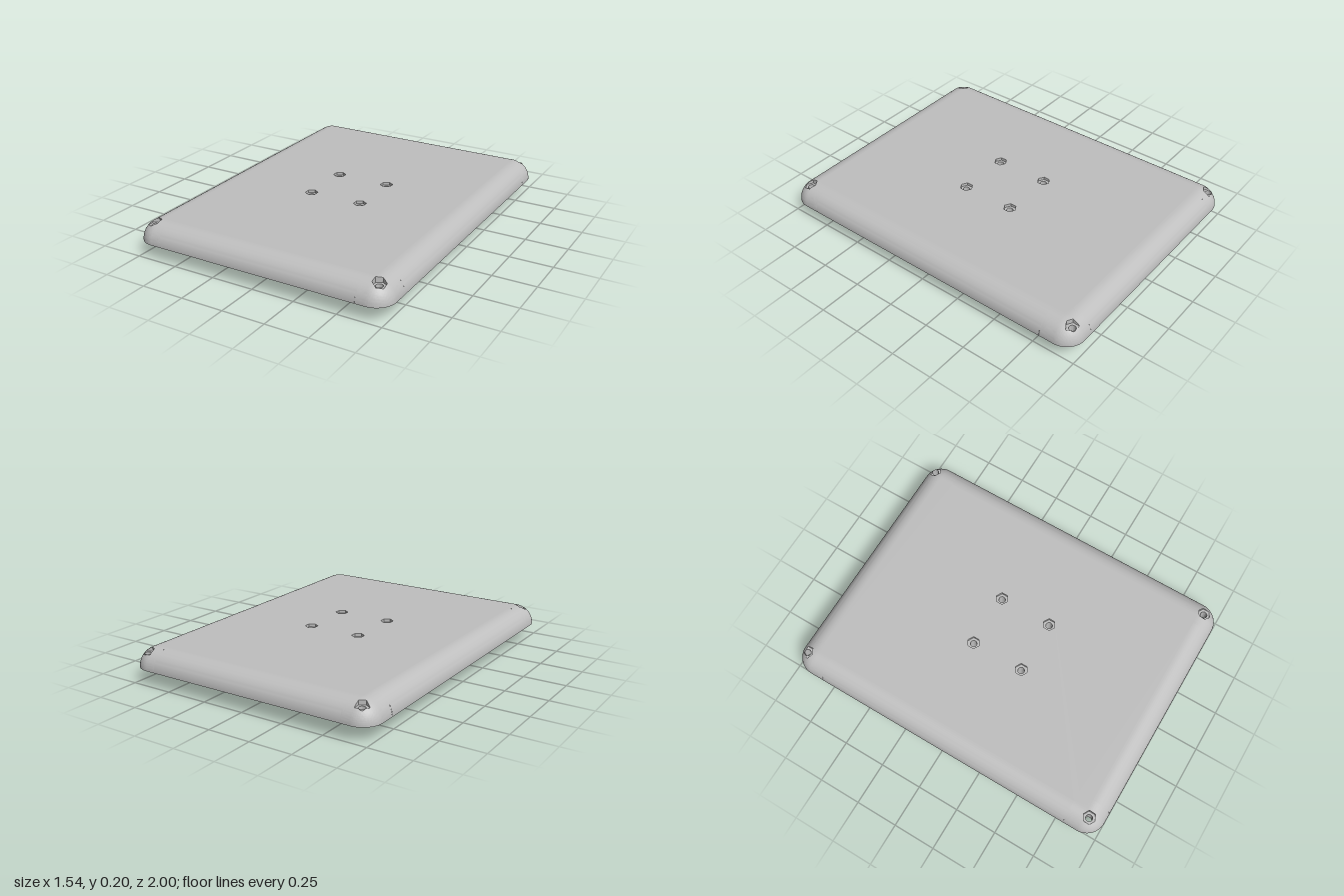
import * as THREE from 'three';
import { toCreasedNormals } from 'three/addons/utils/BufferGeometryUtils.js';

const W = 0.77, L = 1, R = 0.113;          // half width, half length, edge radius
const BASE = 0.087, TOP = 0.2;             // underside and top heights
const A = W - R, B = L - R;                // where the rounded edge begins
const PX = 0.6, PZ = 0.8;                  // inner limits of the corner patches
const ROOF = 0.182, BORE = 0.019, HEX = 0.032;

// Height of the pillowed top at any point of the plan
function height(x, z) {
  const dx = Math.max(0, x - A), dz = Math.max(0, z - B);
  return BASE + Math.sqrt(Math.max(0, R * R - dx * dx - dz * dz));
}

// Surface through a grid of points fn(i, j)
function grid(nu, nv, fn) {
  const pos = [], idx = [];
  for (let i = 0; i <= nu; i++) for (let j = 0; j <= nv; j++) pos.push(...fn(i, j));
  for (let i = 0; i < nu; i++) for (let j = 0; j < nv; j++) {
    const a = i * (nv + 1) + j, b = a + nv + 1;
    idx.push(a, b, b + 1, a, b + 1, a + 1);
  }
  const g = new THREE.BufferGeometry();
  g.setAttribute('position', new THREE.Float32BufferAttribute(pos, 3));
  g.setIndex(idx);
  return toCreasedNormals(g, 0.5);
}

// Inward-facing wall around a closed plan loop
const wall = (loop, low, high) => grid(loop.length, 1, (i, j) => {
  const [x, z] = loop[i % loop.length];
  return [x, j ? high(x, z) : low(x, z), z];
});

// Flat sheet from a plan outline with holes
function sheet(outline, holes, y, up) {
  const v = (pts) => pts.map(([x, z]) => new THREE.Vector2(x, up ? -z : z));
  const s = new THREE.Shape(v(outline));
  holes.forEach((h) => s.holes.push(new THREE.Path(v(h))));
  return new THREE.ShapeGeometry(s).rotateX(up ? -Math.PI / 2 : Math.PI / 2).translate(0, y, 0);
}

const rect = (x0, x1, z0, z1) => [[x1, z0], [x1, z1], [x0, z1], [x0, z0]];
const circle = (cx, cz, r, n = 32, start = 0) => Array.from({ length: n }, (_, i) => {
  const t = start + (i / n) * Math.PI * 2;
  return [cx + r * Math.cos(t), cz + r * Math.sin(t)];
});
const hexagon = (cx, cz) => circle(cx, cz, HEX / Math.cos(Math.PI / 6), 6, Math.PI / 6);

// Distance from a hexagon's centre to its side
function hexDist(t) {
  const s = Math.PI / 3;
  const m = (((t + s / 2) % s) + s) % s - s / 2;
  return HEX / Math.cos(m);
}

// Distance from a corner hole to the limit of its patch
function patchDist(cx, cz, t) {
  const dx = Math.cos(t), dz = Math.sin(t);
  const tx = Math.abs(dx) < 1e-9 ? Infinity : ((dx > 0 ? W : PX) - cx) / dx;
  const tz = Math.abs(dz) < 1e-9 ? Infinity : ((dz > 0 ? L : PZ) - cz) / dz;
  const d = Math.min(tx, tz);
  if (cx + dx * d <= A || cz + dz * d <= B) return d;
  const px = cx - A, pz = cz - B, k = px * dx + pz * dz;
  return -k + Math.sqrt(k * k - px * px - pz * pz + R * R);
}

export function createModel() {
  const root = new THREE.Group();
  root.name = 'mountingPlate';
  const grey = new THREE.MeshStandardMaterial({ color: 0xbfbfbf, side: THREE.DoubleSide });
  grey.name = 'grey';
  const add = (name, geo, sx = 1, sz = 1) => {
    const m = new THREE.Mesh(geo, grey);
    m.name = name;
    m.scale.set(sx, 1, sz);
    root.add(m);
  };
  const at = (y) => () => y;

  const posts = [];
  for (const x of [-0.157, 0.163]) for (const z of [-0.147, 0.172]) posts.push([x, z]);

  // Flat top with hexagonal nut recesses
  add('topPanel', sheet(
    [[-PX, -B], [PX, -B], [PX, -PZ], [A, -PZ], [A, PZ], [PX, PZ], [PX, B], [-PX, B],
      [-PX, PZ], [-A, PZ], [-A, -PZ], [-PX, -PZ]],
    posts.map(([x, z]) => hexagon(x, z)), TOP, true));

  // Quarter-round edges
  for (const s of [1, -1]) {
    const arc = (j) => [R * Math.cos((j / 16) * Math.PI / 2), BASE + R * Math.sin((j / 16) * Math.PI / 2)];
    add('sideEdge', grid(1, 16, (i, j) => [A + arc(j)[0], arc(j)[1], i ? -PZ : PZ]), s, 1);
    add('endEdge', grid(1, 16, (i, j) => [i ? PX : -PX, arc(j)[1], B + arc(j)[0]]), 1, s);
  }

  // Rounded corners, each cut by a nut recess and a bore
  const FLOOR = 0.168, cornerHoles = [];
  for (const sx of [1, -1]) for (const sz of [1, -1]) {
    const cx = 0.69, cz = sz > 0 ? 0.915 : 0.945;
    cornerHoles.push([sx * cx, sz * cz]);
    const ang = Array.from({ length: 96 }, (_, i) => (i / 96) * Math.PI * 2);
    for (const [x, z] of [[PX, PZ], [PX, L], [W, PZ]]) {
      ang.push((Math.atan2(z - cz, x - cx) + Math.PI * 2) % (Math.PI * 2));
    }
    ang.sort((p, q) => p - q);
    const n = ang.length;
    const ring = (steps, inner, outer, yOf) => grid(n, steps, (i, j) => {
      const t = ang[i % n], s = j / steps;
      const d = inner(t) + (outer(t) - inner(t)) * (1 - (1 - s) ** 2);
      const x = cx + d * Math.cos(t), z = cz + d * Math.sin(t);
      return [x, yOf(x, z), z];
    });
    const cut = (x, z) => Math.min(FLOOR, height(x, z));
    const hexLoop = ang.map((t) => [cx + hexDist(t) * Math.cos(t), cz + hexDist(t) * Math.sin(t)]);
    add('corner', ring(14, hexDist, (t) => patchDist(cx, cz, t), height), sx, sz);
    add('cornerRecessFloor', ring(6, () => BORE, hexDist, cut), sx, sz);
    add('cornerRecessWall', wall(hexLoop, cut, height), sx, sz);
    add('cornerBore', wall(circle(cx, cz, BORE), at(BASE), at(FLOOR)), sx, sz);
  }

  // Underside with pocket, grooves and holes
  const outline = [];
  [[A, B], [-A, B], [-A, -B], [A, -B]].forEach(([x, z], q) => {
    for (let i = 0; i <= 16; i++) {
      const t = (q + i / 16) * Math.PI / 2;
      outline.push([x + R * Math.cos(t), z + R * Math.sin(t)]);
    }
  });
  const PW = 0.33, Z0 = -0.83, Z1 = -0.33, Z2 = 0.35;
  const grooves = [-0.87, 0.83].map((z) => rect(-0.725, 0.725, z - 0.019, z + 0.019));
  const blind = [[0.7, 0.693], [-0.705, -0.773]].map(([x, z]) => circle(x, z, 0.025));
  add('underside', sheet(outline, [rect(-PW, PW, Z0, Z2), ...grooves, ...blind,
    ...cornerHoles.map(([x, z]) => circle(x, z, BORE))], BASE, false));
  for (const [name, loops] of [['groove', grooves], ['blindHole', blind]]) {
    for (const loop of loops) {
      add(name + 'Wall', wall(loop, at(BASE), at(BASE + 0.04)));
      add(name + 'Floor', sheet(loop, [], BASE + 0.04, false));
    }
  }

  // Pocket with a ramp at the back
  const pocketLoop = [[PW, Z0], [PW, Z1], [PW, Z2], [-PW, Z2], [-PW, Z1], [-PW, Z0]];
  add('pocketWall', wall(pocketLoop, at(BASE), (x, z) => (z < Z1 ? BASE : ROOF)));
  add('pocketRoof', sheet(rect(-PW, PW, Z1, Z2), posts.map(([x, z]) => circle(x, z, BORE)), ROOF, false));
  add('pocketRamp', grid(1, 1, (i, j) => [i ? PW : -PW, j ? ROOF : BASE, j ? Z1 : Z0]));

  // Hollow posts hanging below the pocket
  for (const [x, z] of posts) {
    const outer = circle(x, z, 0.034), bore = circle(x, z, BORE);
    add('post', wall([...outer].reverse(), at(0), at(ROOF)));
    add('postEnd', sheet(outer, [bore], 0, false));
    add('postBore', wall(bore, at(0), at(ROOF + 0.001)));
    add('nutRecessFloor', sheet(hexagon(x, z), [bore], ROOF + 0.001, true));
    add('nutRecessWall', wall(hexagon(x, z), at(ROOF + 0.001), at(TOP)));
  }
  return root;
}
